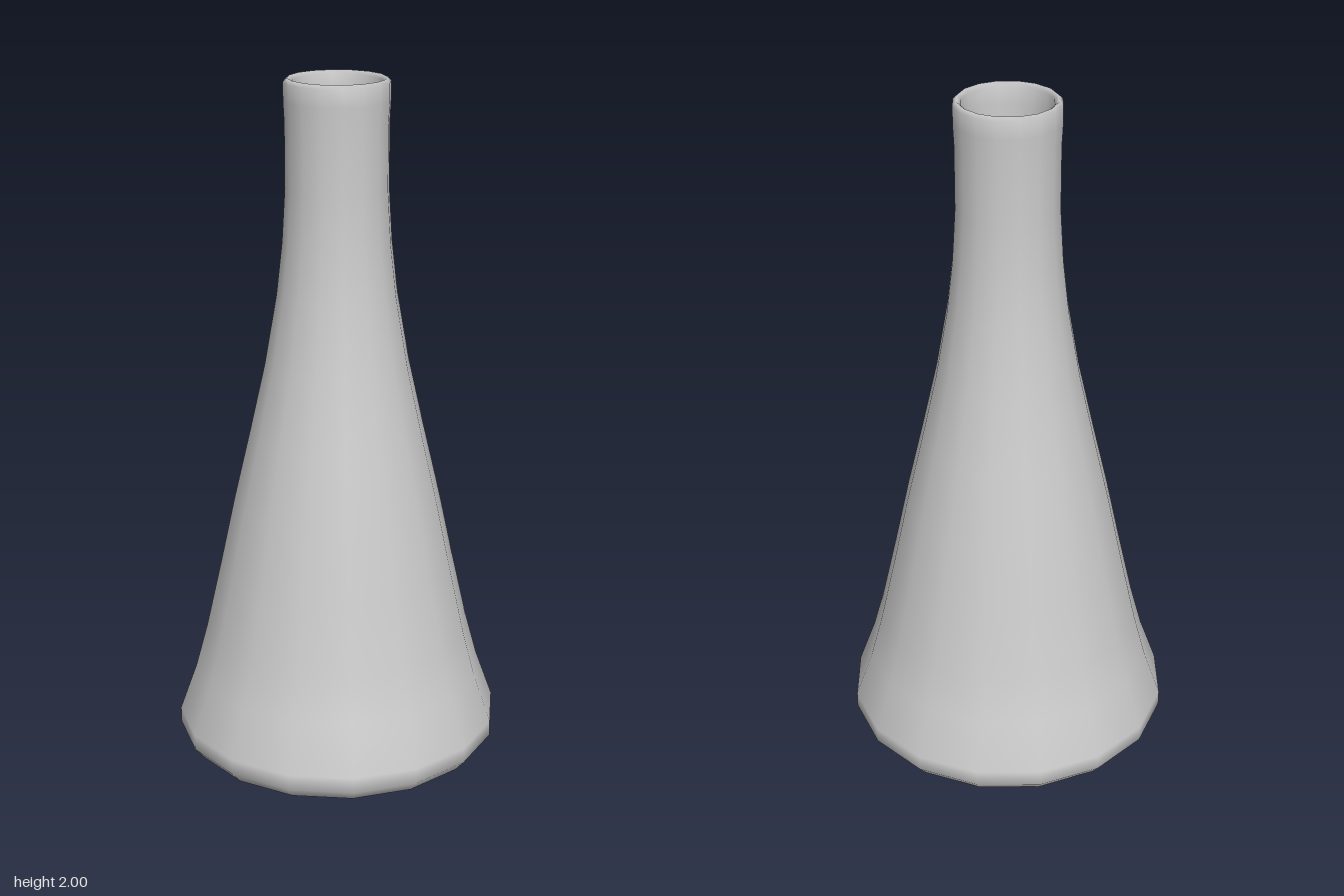
import * as THREE from 'three';

const SIDES = 16;
const WALL = 0.023;

function lathe(name, profile, color) {
  const points = profile.map(([r, y]) => new THREE.Vector2(r, y));
  const mesh = new THREE.Mesh(
    new THREE.LatheGeometry(points, SIDES),
    new THREE.MeshStandardMaterial({ color })
  );
  mesh.name = name;
  return mesh;
}

export function createModel() {
  const flask = new THREE.Group();
  flask.name = 'flask';

  // Slightly domed base with a rounded lower edge
  const base = [[0, 0], [0.18, 0.01], [0.34, 0.025], [0.44, 0.05], [0.47, 0.085]];

  // Conical body flowing into the neck
  const side = [
    [0.47, 0.13], [0.42, 0.27], [0.385, 0.4], [0.34, 0.6], [0.297, 0.8], [0.25, 1.0],
    [0.205, 1.2], [0.17, 1.4], [0.153, 1.55], [0.144, 1.7], [0.144, 1.88], [0.147, 1.94],
  ];

  // Softly rounded lip, then the inner wall back down to the floor
  const rim = [[0.147, 1.99], [0.136, 2.0], [0.124, 1.99]];
  const inner = side.map(([r, y]) => [r - WALL, y]).reverse();
  const floor = [[0.4, 0.08], [0, 0.05]];

  flask.add(lathe('glass', [...base, ...side, ...rim, ...inner, ...floor], 0xcccccc));

  // Liquid filling the lower body, closed by a level surface
  const level = 0.8;
  const fill = side.filter(([, y]) => y <= level).map(([r, y]) => [r - WALL - 0.003, y]);
  const top = fill[fill.length - 1];
  flask.add(lathe('liquid', [[0, 0.06], [0.39, 0.085], ...fill, [top[0] - 0.01, level + 0.002], [0, level + 0.002]], 0x6a0fe0));

  return flask;
}
